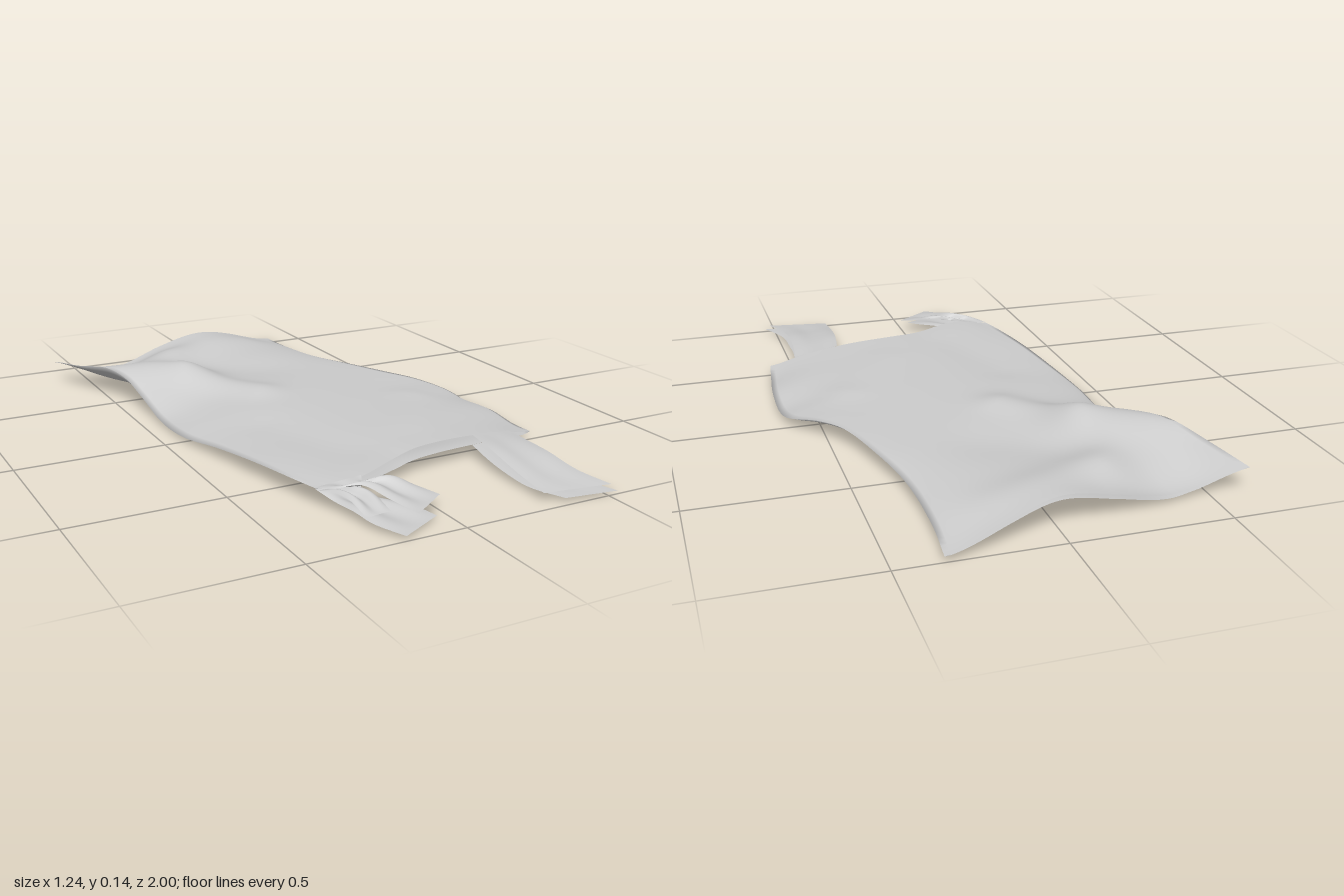
import * as THREE from 'three';
import { ParametricGeometry } from 'three/addons/geometries/ParametricGeometry.js';

const cloth = new THREE.MeshStandardMaterial({ color: 0xcccccc, roughness: 0.9, side: THREE.DoubleSide });
const curve = (pts) => new THREE.CatmullRomCurve3(pts.map(([x, y, z]) => new THREE.Vector3(x, y, z)));
const { lerp, clamp } = THREE.MathUtils;

// Outline of the garment lying flat, as x, y, z
const leftSide = curve([[-0.62, 0.08, -0.86], [-0.57, 0.1, -0.7], [-0.51, 0.122, -0.55], [-0.475, 0.105, -0.45],
  [-0.455, 0.065, -0.35], [-0.44, 0.015, -0.2], [-0.435, 0.018, 0], [-0.4, 0.04, 0.2], [-0.365, 0.055, 0.4],
  [-0.325, 0.06, 0.6], [-0.305, 0.06, 0.68]]);
const rightSide = curve([[0.355, 0.02, -1], [0.345, 0.03, -0.85], [0.355, 0.045, -0.6], [0.4, 0.06, -0.4],
  [0.465, 0.068, -0.2], [0.53, 0.06, -0.1], [0.6, 0.035, 0], [0.617, 0.018, 0.1], [0.618, 0.028, 0.25],
  [0.602, 0.025, 0.4], [0.588, 0.035, 0.51]]);
const hem = curve([[-0.62, 0.08, -0.86], [-0.5, 0.025, -0.845], [-0.38, 0.02, -0.86], [-0.18, 0.075, -0.9],
  [0, 0.11, -0.92], [0.15, 0.09, -0.955], [0.355, 0.02, -1]]);
const neckline = curve([[-0.305, 0.06, 0.68], [-0.24, 0.078, 0.695], [-0.16, 0.08, 0.69], [0, 0.075, 0.61],
  [0.1, 0.08, 0.575], [0.33, 0.078, 0.545], [0.49, 0.065, 0.525], [0.588, 0.035, 0.51]]);

// Folds: x1, z1, x2, z2, width, height
const folds = [
  [-0.48, -0.5, -0.28, -0.43, 0.13, 0.07], [-0.26, -0.38, -0.08, -0.18, 0.08, 0.02],
  [-0.34, -0.58, -0.22, -0.74, 0.1, 0.015], [-0.2, -0.76, 0.14, -0.88, 0.12, 0.03],
  [-0.1, -0.5, 0.05, -0.45, 0.14, -0.012], [0.5, -0.06, 0.42, 0.08, 0.09, 0.008],
  [0.38, 0.1, 0.2, 0.38, 0.09, 0.006], [-0.2, 0.15, -0.1, 0.5, 0.1, -0.008],
];
function foldHeight(x, z) {
  let h = 0.078;
  for (const [ax, az, bx, bz, w, amp] of folds) {
    const dx = bx - ax, dz = bz - az;
    const t = clamp(((x - ax) * dx + (z - az) * dz) / (dx * dx + dz * dz), 0, 1);
    const d2 = (x - ax - dx * t) ** 2 + (z - az - dz * t) ** 2;
    h += amp * Math.exp(-d2 / (w * w));
  }
  return h;
}

// Blend the four outline curves, then lift the layer to its own height
function bodyPoint(u, v, upper, target) {
  const a = leftSide.getPointAt(v), b = rightSide.getPointAt(v);
  const c = hem.getPointAt(u), d = neckline.getPointAt(u);
  const mix = (k) => {
    const corners = (1 - v) * lerp(hem.points[0][k], hem.points.at(-1)[k], u)
      + v * lerp(neckline.points[0][k], neckline.points.at(-1)[k], u);
    return lerp(a[k], b[k], u) + lerp(c[k], d[k], v) - corners;
  };
  const x = mix('x');
  const z = mix('z') + (upper ? 0 : 0.01 * v ** 8 * Math.sin(Math.PI * u));
  const nearHem = Math.exp(-((v / (upper ? 0.09 : 0.16)) ** 2));
  const nearNeck = Math.exp(-(((1 - v) / 0.1) ** 2));
  const gap = upper ? 0 : 1;
  let y = upper ? foldHeight(x, z) : 0.005 + 0.003 * Math.sin(9 * x + 5 * z);
  y = lerp(y, Math.max(0.005, c.y - 0.014 * gap), nearHem);
  y = lerp(y, d.y - 0.033 * gap, nearNeck);
  const s = Math.max(0, 4 * u * (1 - u)) ** 0.65;
  target.set(x, lerp(lerp(a.y, b.y, u), y, s), z);
}

// Ribbon between two edge curves, with lengthwise pleats
function ribbon(rows, pleat, upper) {
  const l = curve(rows.map(([lx, lz, , , y]) => [lx, y, lz]));
  const r = curve(rows.map(([, , rx, rz, y, ry = y]) => [rx, ry, rz]));
  return new ParametricGeometry((u, v, target) => {
    const k = upper ? 1 - u : u;
    target.lerpVectors(l.getPoint(v), r.getPoint(v), k);
    target.y += pleat * Math.sin(k * Math.PI * 3) * Math.sin(Math.PI * v);
  }, 14, 18);
}

export function createModel() {
  const group = new THREE.Group();
  const add = (name, geometry) => {
    const mesh = new THREE.Mesh(geometry, cloth);
    mesh.name = name;
    group.add(mesh);
  };

  // Two body layers joined along the side seams, open at hem and neck
  add('upperBody', new ParametricGeometry((u, v, t) => bodyPoint(1 - u, v, true, t), 48, 64));
  add('lowerBody', new ParametricGeometry((u, v, t) => bodyPoint(u, v, false, t), 48, 64));

  // Straight strap
  add('leftStrapUpper', ribbon([[0.33, 0.543, 0.492, 0.522, 0.076, 0.056], [0.313, 0.66, 0.482, 0.63, 0.072, 0.06],
    [0.304, 0.76, 0.48, 0.74, 0.058], [0.3, 0.86, 0.486, 0.87, 0.042], [0.3, 0.95, 0.52, 0.985, 0.03]], 0.003, true));
  add('leftStrapLower', ribbon([[0.33, 0.548, 0.492, 0.525, 0.042, 0.035], [0.315, 0.66, 0.482, 0.63, 0.03],
    [0.308, 0.76, 0.48, 0.74, 0.022], [0.312, 0.87, 0.486, 0.87, 0.016], [0.36, 0.975, 0.535, 1, 0.012]], 0.002, false));

  // Crumpled strap, gathered and turned aside
  add('rightStrapUpper', ribbon([[-0.305, 0.68, -0.16, 0.69, 0.062, 0.078], [-0.265, 0.73, -0.17, 0.725, 0.07],
    [-0.2, 0.765, -0.085, 0.745, 0.08], [-0.16, 0.85, -0.04, 0.79, 0.062], [-0.12, 0.94, 0.008, 0.85, 0.045]], 0.008, true));
  add('rightStrapLower', ribbon([[-0.305, 0.68, -0.16, 0.69, 0.058, 0.045], [-0.275, 0.735, -0.17, 0.725, 0.035],
    [-0.255, 0.82, -0.12, 0.79, 0.03], [-0.24, 0.9, -0.07, 0.85, 0.022], [-0.19, 0.99, -0.04, 0.91, 0.012]], 0.006, false));
  add('rightStrapFold', ribbon([[-0.3, 0.69, -0.22, 0.69, 0.055], [-0.275, 0.735, -0.2, 0.73, 0.06],
    [-0.255, 0.79, -0.17, 0.77, 0.055], [-0.245, 0.87, -0.16, 0.86, 0.03]], 0.01, true));
  return group;
}
